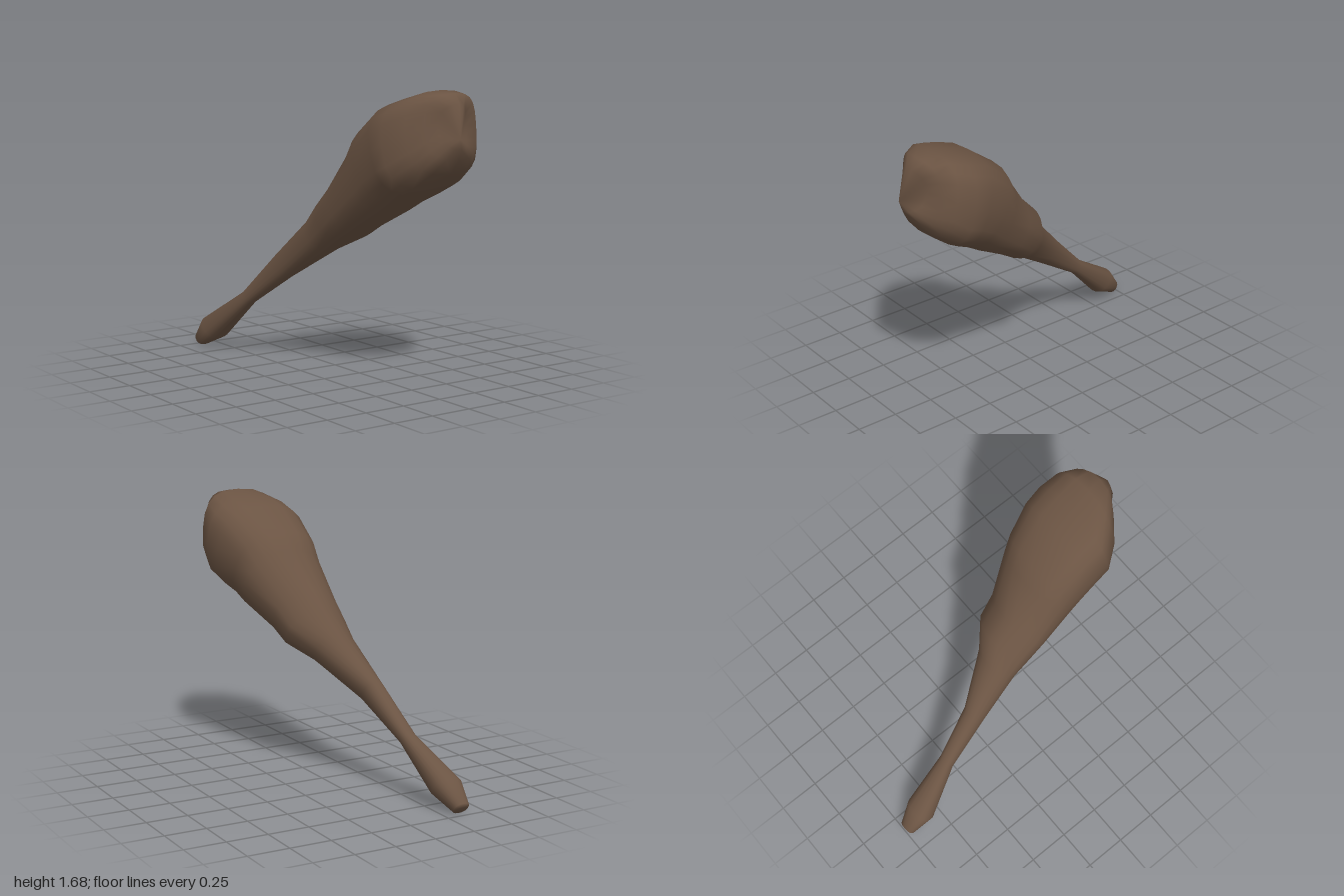
import * as THREE from 'three';

// Cross-sections from grip to head:
// [top z, top y, bottom z, bottom y, min x, max x, top roundness, bottom roundness]
const SECTIONS = [
  [-1.0, 0.07, -0.95, 0.0, -0.4, -0.3, 0.85, 0.85],
  [-0.91, 0.19, -0.79, 0.07, -0.42, -0.24, 0.85, 0.85],
  [-0.6, 0.39, -0.54, 0.32, -0.295, -0.2, 0.85, 0.85],
  [-0.34, 0.65, -0.23, 0.52, -0.24, -0.11, 0.9, 0.85],
  [-0.1, 0.89, 0.05, 0.71, -0.2, 0.07, 1, 0.8],
  [-0.02, 1.03, 0.19, 0.79, -0.2, 0.19, 1.15, 0.7],
  [0.1, 1.15, 0.3, 0.855, -0.2, 0.22, 1.15, 0.75],
  [0.27, 1.36, 0.51, 0.975, -0.19, 0.32, 0.95, 0.75],
  [0.34, 1.46, 0.6, 1.03, -0.19, 0.35, 0.85, 0.75],
  [0.54, 1.6, 0.7, 1.085, -0.185, 0.4, 0.75, 0.7],
  [0.68, 1.64, 0.78, 1.13, -0.18, 0.415, 0.75, 0.65],
  [0.81, 1.68, 0.89, 1.22, -0.1, 0.395, 0.75, 0.65],
  [0.91, 1.665, 0.95, 1.3, -0.02, 0.345, 0.75, 0.7],
  [0.96, 1.61, 0.985, 1.36, 0.05, 0.25, 0.85, 0.85],
];
const SIDES = 20;

// Circle pulled towards a square: 1 is round, lower is squarer
const squared = (v, power) => Math.sign(v) * Math.abs(v) ** power;

function loftClub() {
  const positions = [];
  const index = [];
  const last = SECTIONS.length - 1;
  const middle = ([tz, ty, bz, by, x0, x1]) => [(x0 + x1) / 2, (ty + by) / 2, (tz + bz) / 2];

  // Rings; those of the head have their sides swept back
  SECTIONS.forEach((s, i) => {
    const [tz, ty, bz, by, x0, x1, topPower, bottomPower] = s;
    const [cx, cy, cz] = middle(s);
    const sweep = 0.3 * (i / last) ** 3;
    for (let j = 0; j < SIDES; j++) {
      const a = (j / SIDES) * Math.PI * 2;
      const power = j > SIDES / 2 ? bottomPower : topPower;
      const u = squared(Math.cos(a), power) / 2;
      const v = squared(Math.sin(a), power) / 2;
      positions.push(cx + u * (x1 - x0), cy + v * (ty - by), cz + v * (tz - bz) - sweep * u * u);
    }
  });

  // Skin between neighbouring rings
  for (let i = 0; i < last; i++) {
    for (let j = 0; j < SIDES; j++) {
      const k = (j + 1) % SIDES;
      const a = i * SIDES + j, b = i * SIDES + k;
      index.push(a, b, a + SIDES, b, b + SIDES, a + SIDES);
    }
  }

  // Closed ends: butt of the grip and blunt nose of the head
  const butt = positions.length / 3;
  const nose = butt + 1;
  positions.push(...middle(SECTIONS[0]), 0.13, 1.42, 1.0);
  for (let j = 0; j < SIDES; j++) {
    const k = (j + 1) % SIDES;
    index.push(k, j, butt, last * SIDES + j, last * SIDES + k, nose);
  }

  const geometry = new THREE.BufferGeometry();
  geometry.setAttribute('position', new THREE.Float32BufferAttribute(positions, 3));
  geometry.setIndex(index);
  geometry.computeVertexNormals();
  return geometry;
}

export function createModel() {
  const group = new THREE.Group();
  group.name = 'woodenClub';

  const darkWood = new THREE.MeshStandardMaterial({ color: 0x6b5443 });
  darkWood.name = 'dark wood';

  const club = new THREE.Mesh(loftClub(), darkWood);
  club.name = 'clubBody';
  group.add(club);
  return group;
}
